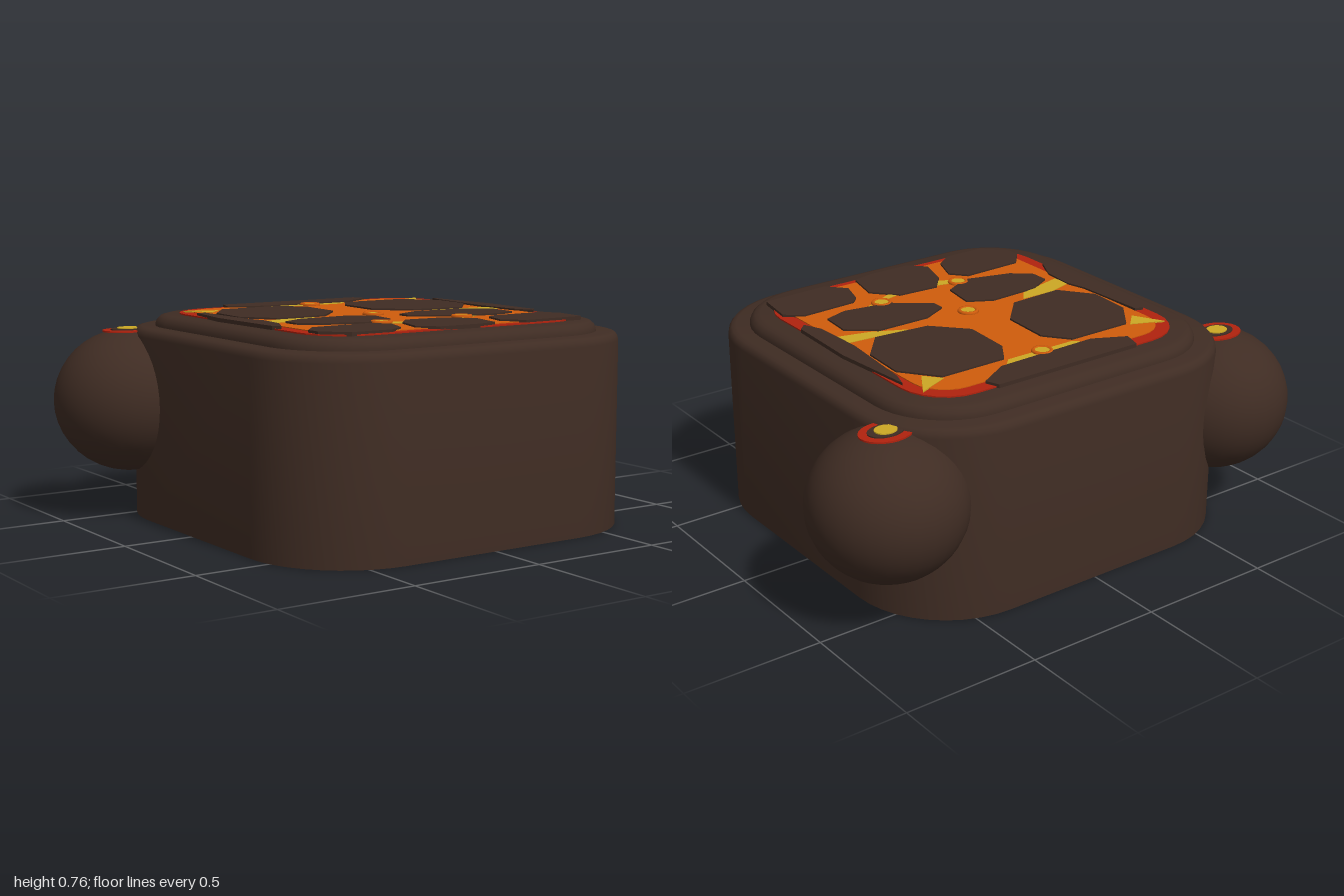
import * as THREE from 'three';
import { toCreasedNormals } from 'three/addons/utils/BufferGeometryUtils.js';

const mat = (name, color, side = THREE.FrontSide) => {
  const m = new THREE.MeshStandardMaterial({ color, side });
  m.name = name;
  return m;
};

// Rounded square outline, running from +x towards +z
function roundedOutline(halfX, halfZ, cz, r, steps) {
  const pts = [];
  [[1, 1], [-1, 1], [-1, -1], [1, -1]].forEach(([sx, sz], q) => {
    for (let i = 0; i <= steps; i++) {
      const a = (q + i / steps) * Math.PI / 2;
      pts.push([sx * (halfX - r) + r * Math.cos(a), cz + sz * (halfZ - r) + r * Math.sin(a)]);
    }
  });
  return pts;
}

// Stack of rounded outlines, each given as [inset, height], closed at both ends
function loft(profile, half, cz, radius) {
  const pos = [], idx = [];
  let n = 0;
  for (const [inset, y] of profile) {
    const ring = roundedOutline(half - inset, half - inset, cz, radius - inset, 10);
    n = ring.length;
    for (const [x, z] of ring) pos.push(x, y, z);
  }
  const last = profile.length - 1, bottom = n * profile.length, top = bottom + 1;
  pos.push(0, profile[0][1], cz, 0, profile[last][1], cz);
  for (let j = 0; j < n; j++) {
    const k = (j + 1) % n;
    for (let i = 0; i < last; i++) {
      const a = i * n + j, b = i * n + k;
      idx.push(a, a + n, b, b, a + n, b + n);
    }
    idx.push(bottom, j, k, top, last * n + k, last * n + j);
  }
  const g = new THREE.BufferGeometry();
  g.setAttribute('position', new THREE.Float32BufferAttribute(pos, 3));
  g.setIndex(idx);
  return toCreasedNormals(g, 0.7);
}

// Thin horizontal slab from [x, z] points
function slab(points, y, depth) {
  const shape = new THREE.Shape(points.map(([x, z]) => new THREE.Vector2(x, -z)));
  const g = new THREE.ExtrudeGeometry(shape, { depth, bevelEnabled: false });
  return g.rotateX(-Math.PI / 2).translate(0, y, 0);
}

// Flat list of hundredths to [x, z] pairs
const pairs = (flat) => {
  const out = [];
  for (let i = 0; i < flat.length; i += 2) out.push([flat[i] / 100, flat[i + 1] / 100]);
  return out;
};

export function createModel() {
  const rock = mat('darkRock', 0x3f2c23);
  const red = mat('coolingRed', 0xb0220e);
  const orange = mat('lavaOrange', 0xd05c0c);
  const yellow = mat('hotYellow', 0xcca824);
  const group = new THREE.Group();
  const add = (name, geometry, material, parent = group) => {
    const m = new THREE.Mesh(geometry, material);
    m.name = name;
    parent.add(m);
    return m;
  };

  // Main block with softened top edge, and the raised tier on it
  add('body', loft([[0, 0], [0, 0.67], [0.004, 0.685], [0.014, 0.696], [0.03, 0.70]], 0.74, 0.035, 0.37), rock);
  add('topTier', loft([[0, 0.69], [0, 0.705], [0.006, 0.722], [0.02, 0.735], [0.04, 0.74]], 0.66, 0.035, 0.29), rock);

  // Layers of the lava pool
  add('lavaRim', slab(roundedOutline(0.565, 0.565, 0.035, 0.18, 6), 0.738, 0.007), red);
  add('lavaPool', slab(roundedOutline(0.515, 0.525, 0.045, 0.13, 6), 0.741, 0.007), orange);

  // Glowing streaks
  const streaks = [
    [-53, -43, -41, -38, -47, -32],
    [53, -43, 41, -38, 46, -32],
    [-17, -41, 17, -41, 14, -38, -14, -38],
    [-50, 8, -40, 5, -26, 5, -30, 10, -49, 15],
    [26, 5, 38, 6, 50, 7, 50, 14, 38, 11],
    [-25, 32, -7, 36, -11, 40],
    [26, 32, 11, 39, 10, 36],
  ];
  streaks.forEach((s) => add('glowStreak', slab(pairs(s), 0.745, 0.005), yellow));

  // Cracked crust plates floating on the lava
  const crust = [
    [-40, -37, -15, -37, -8, -28, -9, -9, -20, 3, -41, 4, -50, -8, -49, -25],
    [15, -37, 41, -37, 51, -24, 50, -7, 40, 5, 19, 3, 8, -9, 9, -28],
    [-36, 11, -16, 10, -7, 15, -9, 28, -20, 34, -38, 29, -45, 23, -45, 16],
    [14, 10, 35, 10, 45, 18, 44, 30, 35, 33, 17, 30, 4, 20, 4, 15],
  ];
  const edgeCrust = [
    [-30, -54, 30, -54, 32, -49, 20, -42, -20, -41, -32, -47],
    [-48, 38, -24, 37, -19, 43, -23, 54, -30, 59, -46, 59, -54, 51, -54, 45],
    [-7, 34, 9, 35, 17, 44, 14, 58, 6, 60, -11, 60, -17, 54, -13, 41],
    [27, 39, 49, 38, 55, 43, 53, 58, 27, 59, 21, 52, 24, 42],
    [-55, -29, -52, -28, -51, 0, -49, 8, -50, 20, -55, 30, -57, 27, -58, -8],
    [55, -34, 58, -2, 57, 27, 54, 30, 51, 23, 50, 3, 53, -28],
  ];
  crust.forEach((c) => add('crustPlate', slab(pairs(c), 0.739, 0.015), rock));
  edgeCrust.forEach((c) => add('edgeCrustPlate', slab(pairs(c), 0.739, 0.015), rock));

  // Bubbles: orange ring with a hot centre
  [[0, -0.39], [-0.02, 0.07], [-0.17, 0.34], [0.19, 0.325]].forEach(([x, z]) => {
    const bubble = new THREE.Group();
    bubble.name = 'bubble';
    bubble.position.set(x, 0.75, z);
    const ring = new THREE.TorusGeometry(0.032, 0.008, 6, 16).rotateX(Math.PI / 2);
    add('bubbleRing', ring, orange, bubble);
    add('bubbleCentre', new THREE.CylinderGeometry(0.026, 0.026, 0.009, 16), yellow, bubble);
    group.add(bubble);
  });

  // Round side lobes at the back, each with a small vent on top
  for (const side of [1, -1]) {
    const lobe = new THREE.Group();
    lobe.name = side > 0 ? 'leftLobe' : 'rightLobe';
    lobe.position.set(side * 0.725, 0.428, -0.5);
    add('lobeBall', new THREE.SphereGeometry(0.275, 32, 20).scale(1, 0.955, 1), rock, lobe);
    const vent = (name, rx, rz, y, m) =>
      add(name, new THREE.CylinderGeometry(1, 1, 0.006, 24).scale(rx, 1, rz), m, lobe).position.set(0, y, 0);
    vent('ventRim', 0.096, 0.076, 0.256, red);
    vent('ventCrust', 0.066, 0.047, 0.26, rock);
    vent('ventCore', 0.04, 0.034, 0.264, yellow);
    group.add(lobe);
  }
  return group;
}
